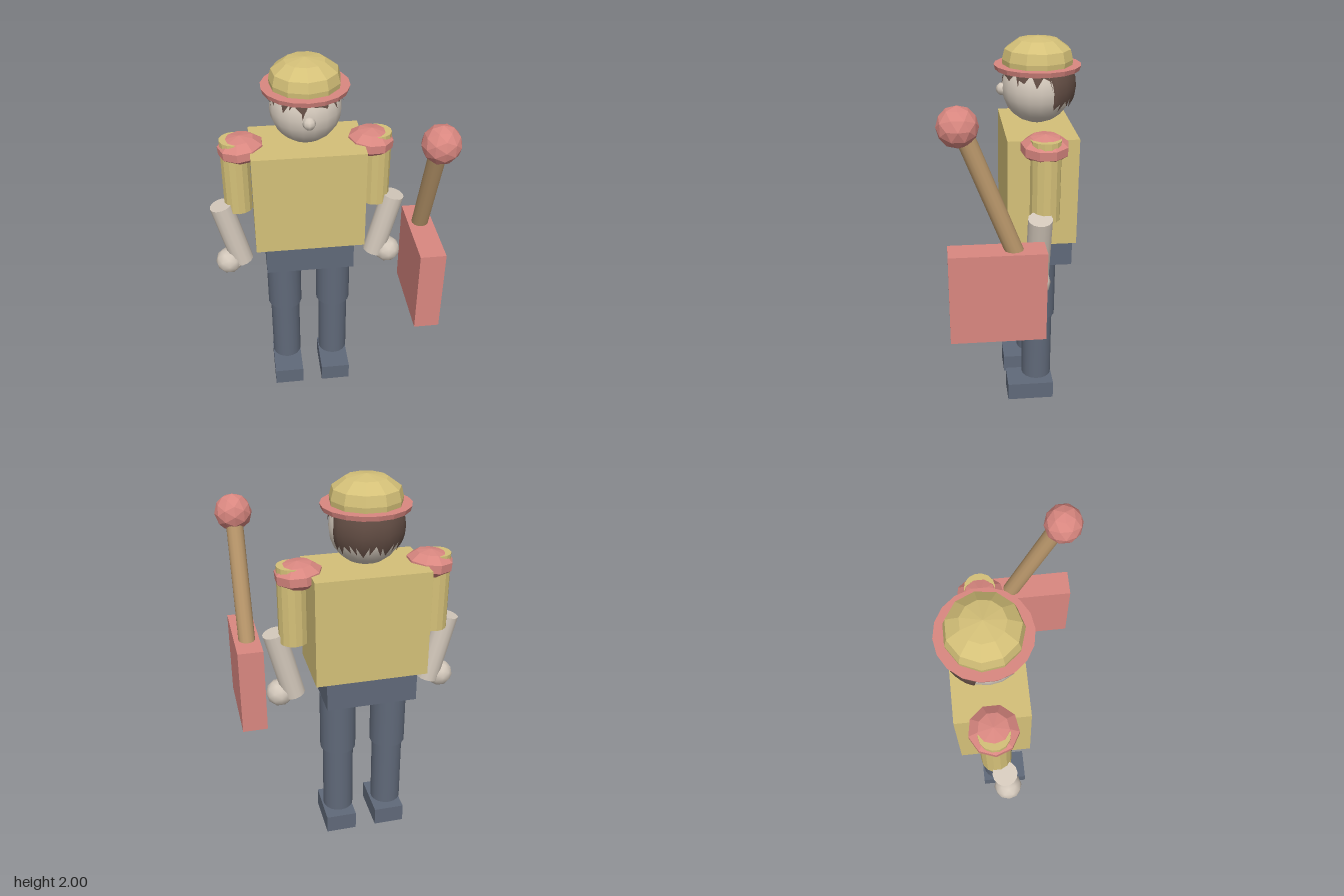
import * as THREE from 'three';

const CX = -0.08, CZ = -0.145; // body axis

function material(name, color, extra = {}) {
  const m = new THREE.MeshStandardMaterial({ color, ...extra });
  m.name = name;
  return m;
}

export function createModel() {
  const group = new THREE.Group();
  const shirt = material('mustard', 0xd4c078, { flatShading: true });
  const red = material('coral', 0xd98780, { flatShading: true });
  const slate = material('slate', 0x606979);
  const skin = material('skin', 0xd3c8bb);
  const wood = material('wood', 0xb8966a);
  const brown = material('hair brown', 0x604b42, { side: THREE.DoubleSide });

  const add = (name, geo, mat, x = 0, y = 0, z = 0) => {
    const mesh = new THREE.Mesh(geo, mat);
    mesh.name = name;
    mesh.position.set(x, y, z);
    group.add(mesh);
    return mesh;
  };
  const box = (name, mat, x0, x1, y0, y1, z0, z1) =>
    add(name, new THREE.BoxGeometry(x1 - x0, y1 - y0, z1 - z0), mat,
      (x0 + x1) / 2, (y0 + y1) / 2, (z0 + z1) / 2);
  // cylinder between two points
  const rod = (name, mat, a, b, r, sides = 14) => {
    const p = new THREE.Vector3(...a), q = new THREE.Vector3(...b);
    const d = q.clone().sub(p);
    const mesh = add(name, new THREE.CylinderGeometry(r, r, d.length(), sides), mat);
    mesh.position.copy(p).add(q).multiplyScalar(0.5);
    mesh.quaternion.setFromUnitVectors(new THREE.Vector3(0, 1, 0), d.normalize());
    return mesh;
  };

  // Trunk
  box('torso', shirt, -0.365, 0.205, 1.01, 1.56, -0.32, 0.03);
  box('hips', slate, -0.315, 0.15, 0.86, 1.01, -0.31, 0.02);

  // Limbs, mirrored about the body axis
  for (const s of [-1, 1]) {
    const side = s > 0 ? 'left' : 'right';
    const X = (d) => CX + s * d;
    rod(side + 'Thigh', slate, [X(0.138), 0.53, CZ], [X(0.138), 0.86, CZ], 0.095, 18);
    rod(side + 'Shin', slate, [X(0.138), 0.137, CZ], [X(0.138), 0.53, CZ], 0.082, 18);
    box(side + 'Foot', slate, X(0.138) - 0.082, X(0.138) + 0.082, 0, 0.1, -0.235, 0.02);
    rod(side + 'UpperArm', shirt, [X(0.36), 1.19, CZ], [X(0.36), 1.59, CZ], 0.074);
    rod(side + 'Forearm', skin, [X(0.453), 1.227, -0.112], [X(0.363), 0.867, -0.112], 0.06);
    add(side + 'Hand', new THREE.IcosahedronGeometry(0.071, 1), skin, X(0.435), 0.875, -0.1);
    const pad = add(side + 'ShoulderPad', new THREE.SphereGeometry(0.122, 9, 5), red, X(0.328), 1.54, CZ);
    pad.scale.y = 0.56;
    pad.rotation.z = -s * 0.08;
  }

  // Head
  add('head', new THREE.SphereGeometry(0.178, 18, 12), skin, CX, 1.75, CZ);
  add('nose', new THREE.SphereGeometry(0.032, 8, 6), skin, CX, 1.742, 0.03);

  // Hair shell: ragged low fringe in front, long at the back
  const R = 0.186, cy = 1.76, cols = 36;
  const hair = new THREE.SphereGeometry(R, cols, 8);
  const pos = hair.attributes.position, uv = hair.attributes.uv;
  for (let i = 0; i < pos.count; i++) {
    const c = Math.round(uv.getX(i) * cols) % cols;
    const a = (c / cols) * Math.PI * 2;
    const front = Math.sin(a);
    let edge = front > -0.2 ? 1.8 + 0.02 * Math.sin(c * 2.1) : 1.662 + 0.01 * Math.sin(c * 1.7);
    if (c === 8) edge = 1.75; // forelock
    const t = (1 - uv.getY(i)) * Math.acos((edge - cy) / R);
    pos.setXYZ(i, -R * Math.cos(a) * Math.sin(t), R * Math.cos(t), R * front * Math.sin(t));
  }
  hair.computeVertexNormals();
  add('hair', hair, brown, CX, cy, -0.153);

  // Hat
  const dome = [[0.172, 1.85], [0.176, 1.89], [0.163, 1.94], [0.1, 1.985], [0, 2]]
    .map(([x, y]) => new THREE.Vector2(x, y));
  add('hatDome', new THREE.LatheGeometry(dome, 11), shirt, CX, 0, CZ);
  add('hatBrim', new THREE.CylinderGeometry(0.217, 0.21, 0.024, 18), red, CX, 1.853, CZ);

  // Big hammer held beside the left hand
  box('hammerBlock', red, 0.43, 0.56, 0.675, 1.135, -0.125, 0.335);
  rod('hammerHandle', wood, [0.494, 0.95, -0.045], [0.494, 1.72, 0.255], 0.043);
  add('hammerKnob', new THREE.IcosahedronGeometry(0.094, 1), red, 0.494, 1.73, 0.272);

  return group;
}
